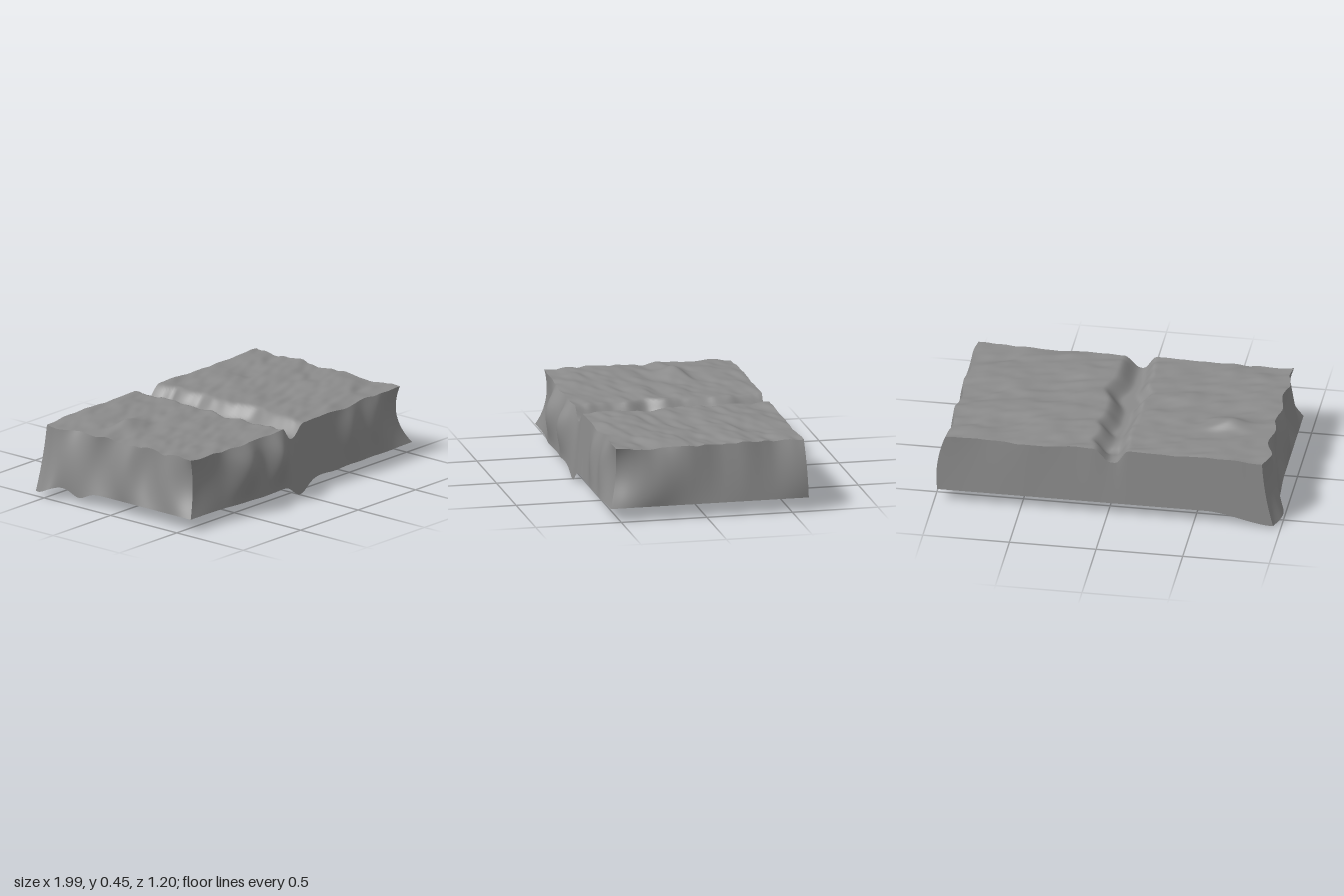
import * as THREE from 'three';

const { lerp, smoothstep } = THREE.MathUtils;
// Soft bump of width w centred on 0
const bump = (d, w) => Math.exp(-(d * d) / (w * w));
// Arch that is 0 at both ends of 0..1 and 1 in the middle
const arch = (v) => 4 * v * (1 - v);

// Seeded smooth noise in -1..1
function hash(i, j) {
  const s = Math.sin(i * 127.1 + j * 311.7) * 43758.5453;
  return 2 * (s - Math.floor(s)) - 1;
}
function noise(x, z) {
  const i = Math.floor(x), j = Math.floor(z);
  const u = smoothstep(x - i, 0, 1), w = smoothstep(z - j, 0, 1);
  return lerp(lerp(hash(i, j), hash(i + 1, j), u), lerp(hash(i, j + 1), hash(i + 1, j + 1), u), w);
}

// Height of the rough ground, with the channel cut through it
function groundHeight(x, z) {
  const s = z + 0.25 * x;
  let y = 0.408 + 0.011 * noise(5 * x + 20, 11 * s + 20) + 0.006 * noise(11 * x + 50, 22 * s + 50);
  y += 0.035 * bump(x + 0.65, 0.1) * bump(z + 0.17, 0.06);
  y += 0.012 * bump(x - 0.42, 0.15) * bump(z + 0.15, 0.08);
  y -= 0.02 * bump(x + 0.92, 0.15) * bump(z + 0.58, 0.12);
  const left = -0.08 - 0.05 * bump(z - 0.1, 0.07) + 0.008 * Math.sin(14 * z);
  const right = 0.045 + 0.05 * bump(z - 0.13, 0.09) + 0.03 * bump(z + 0.25, 0.05) + 0.03 * bump(z + 0.45, 0.04);
  const cut = smoothstep(x, left - 0.03, left + 0.045) * (1 - smoothstep(x, right - 0.06, right + 0.045));
  const floor = 0.33 + 0.012 * bump(z + 0.36, 0.07) - 0.012 * bump(z + 0.45, 0.035);
  return lerp(y, floor, cut);
}

// Outlines of the four sides at height v (0 = bottom, 1 = top)
function rightX(z, v) {
  return lerp(0.982, 0.93, v)
    - 0.055 * arch(v) * bump(z - 0.56, 0.13)
    + 0.022 * arch(v) * bump(z + 0.6, 0.2)
    + 0.03 * arch(v) * bump(z - 0.27, 0.13)
    + 0.01 * Math.sin(19 * z) * v;
}
function leftX(z, v) {
  const edge = lerp(0.945, 0.895, v) - 0.035 * arch(v) * bump(z - 0.53, 0.15);
  const ripples = 0.02 * Math.sin(17 * z + 1) * arch(v) + 0.011 * Math.sin(24 * z) * v;
  return -(edge + ripples + 0.055 * bump(z + 0.48, 0.08) * (1 - 0.6 * v));
}
function frontZ(x, v) {
  const bulges = 0.06 * bump(x + 0.5, 0.13) + 0.06 * bump(x + 0.2, 0.1)
    + 0.025 * bump(x - 0.5, 0.09) + 0.025 * bump(x - 0.72, 0.1);
  const swell = 0.35 + 0.85 * arch(v ** 1.5);
  const pinch = 0.025 * arch(v) * (bump(x - 0.95, 0.2) + bump(x + 0.93, 0.2));
  return lerp(0.557, 0.515, v) + bulges * swell * (1 - 0.5 * v ** 8) - pinch
    - 0.015 * v * bump(x - 0.65, 0.15);
}
function backZ(x, v) {
  return -lerp(0.6, 0.575, v) + 0.006 * Math.sin(11 * x) * v * smoothstep(x, -0.2, 0.6);
}
// Ragged lower rim
function rimHeight(x, z) {
  const frontPart = smoothstep(z, 0.3, 0.5);
  const backPart = smoothstep(-z, 0.38, 0.58);
  const leftPart = smoothstep(-x, 0.5, 0.9);
  return 0.077
    - frontPart * (0.077 * bump(x, 0.085) + 0.012 * bump(x + 0.33, 0.1) + 0.008 * bump(x - 0.3, 0.08))
    - leftPart * 0.045 * bump(z + 0.28, 0.075)
    - backPart * 0.065 * smoothstep(-x, 0.55, 0.93);
}

// Point of the block: a and b run 0..1 across x and z, v runs up the side
function place(a, b, v) {
  const x0 = lerp(-0.93, 0.95, a), z0 = lerp(-0.58, 0.53, b);
  const x = lerp(leftX(z0, v), rightX(z0, v), a);
  const z = lerp(backZ(x0, v), frontZ(x0, v), b);
  const tx = lerp(leftX(z0, 1), rightX(z0, 1), a);
  const tz = lerp(backZ(x0, 1), frontZ(x0, 1), b);
  return [x, lerp(rimHeight(x0, z0), groundHeight(tx, tz), v), z];
}

// Smooth grid surface from a rule f(u, v)
function patch(name, nu, nv, f) {
  const positions = [], index = [];
  for (let j = 0; j <= nv; j++) {
    for (let i = 0; i <= nu; i++) {
      positions.push(...f(i / nu, j / nv));
      if (i < nu && j < nv) {
        const p = j * (nu + 1) + i, q = p + nu + 1;
        index.push(p, p + 1, q + 1, p, q + 1, q);
      }
    }
  }
  const geometry = new THREE.BufferGeometry();
  geometry.setAttribute('position', new THREE.Float32BufferAttribute(positions, 3));
  geometry.setIndex(index);
  geometry.computeVertexNormals();
  const material = new THREE.MeshStandardMaterial({ color: 0x8b8b8b, side: THREE.DoubleSide });
  const mesh = new THREE.Mesh(geometry, material);
  mesh.name = name;
  return mesh;
}

export function createModel() {
  const model = new THREE.Group();
  model.name = 'groundBlock';
  // Rough top with the channel; the underside is left open
  model.add(patch('groundSurface', 140, 80, (u, v) => place(u, 1 - v, 1)));
  // Four side walls
  model.add(patch('frontWall', 140, 16, (u, v) => place(u, 1, v)));
  model.add(patch('backWall', 140, 16, (u, v) => place(1 - u, 0, v)));
  model.add(patch('leftSideWall', 80, 16, (u, v) => place(1, 1 - u, v)));
  model.add(patch('rightSideWall', 80, 16, (u, v) => place(0, u, v)));
  return model;
}
